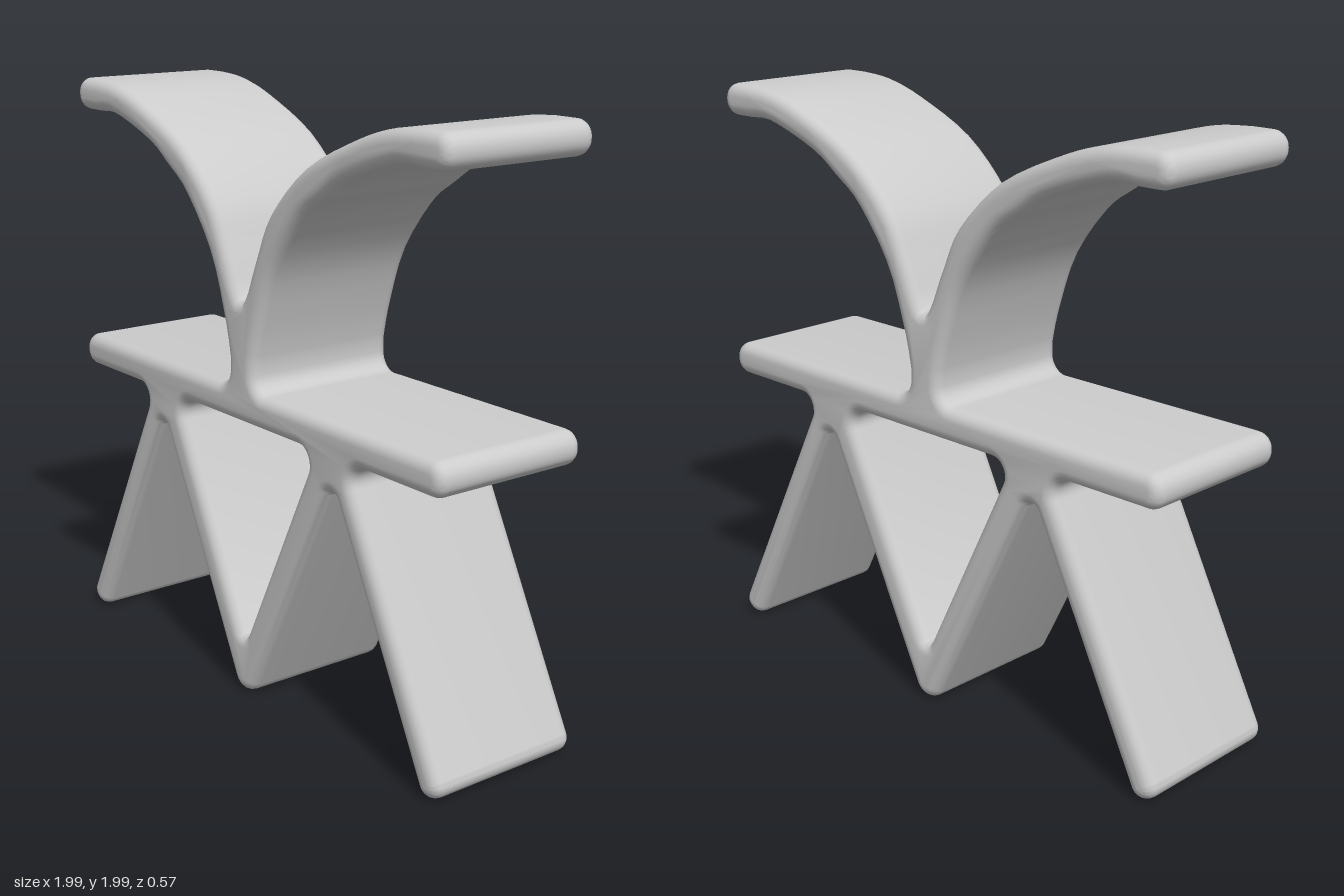
import * as THREE from 'three';
import { toCreasedNormals } from 'three/addons/utils/BufferGeometryUtils.js';

// Closed outline from [x, y, radius] corners, each rounded by a tangent arc.
function roundedOutline(corners) {
  const n = corners.length, out = [];
  corners.forEach(([x, y, r], i) => {
    const p = new THREE.Vector2(x, y);
    if (!r) { out.push(p); return; }
    const [ax, ay] = corners[(i + n - 1) % n], [bx, by] = corners[(i + 1) % n];
    const u = new THREE.Vector2(ax, ay).sub(p).normalize();
    const v = new THREE.Vector2(bx, by).sub(p).normalize();
    const half = Math.acos(THREE.MathUtils.clamp(u.dot(v), -1, 1)) / 2;
    const t = r / Math.tan(half);
    const c = u.clone().add(v).normalize().multiplyScalar(r / Math.sin(half)).add(p);
    const s = u.multiplyScalar(t).add(p).sub(c), e = v.multiplyScalar(t).add(p).sub(c);
    const sweep = Math.atan2(s.cross(e), s.dot(e));
    const steps = 8;
    for (let k = 0; k <= steps; k++) {
      out.push(s.clone().rotateAround(new THREE.Vector2(), sweep * k / steps).add(c));
    }
  });
  return out;
}

// Adds the mirror image of a half outline whose first and last corners lie on x = 0.
const mirrored = half => [
  ...half,
  ...half.slice(1, -1).reverse().map(([x, y, r]) => [-x, y, r]),
];

// Smooth run of points through a few given ones.
const smoothRun = (pts, count) => new THREE.SplineCurve(pts.map(p => new THREE.Vector2(...p)))
  .getPoints(count).map(p => [p.x, p.y, 0]);

export function createModel() {
  const group = new THREE.Group();
  group.name = 'branchingStand';
  const grey = new THREE.MeshStandardMaterial({ color: 0xcccccc });
  grey.name = 'light grey';

  // Curved arm: underside from the stem outwards, upper side back to the fork
  const armUnder = smoothRun([[0.07, 1.17], [0.098, 1.29], [0.172, 1.49], [0.305, 1.665],
    [0.415, 1.745], [0.53, 1.815], [0.745, 1.885], [0.86, 1.887]], 24);
  const armUpper = smoothRun([[0.86, 1.997], [0.73, 1.985], [0.575, 1.94], [0.335, 1.83],
    [0.16, 1.67], [0.085, 1.527], [0.035, 1.41]], 24);

  const half = [
    [0, -0.07, 0.06],                               // centre foot
    [0.475, 0.88, 0.03],                            // gap between the legs
    [0.923, -0.009, 0.047], [1.012, 0.0365, 0.047], // outer foot
    [0.541, 0.955, 0.05],                           // leg meets shelf
    [0.987, 0.955, 0.054], [0.987, 1.07, 0.054],    // shelf end
    [0.07, 1.07, 0.06],                             // shelf meets stem
    ...armUnder,
    [0.987, 1.887, 0.052], [0.987, 1.997, 0.052],   // arm end
    ...armUpper,
    [0, 1.345, 0.018],                              // fork
  ];
  const shape = new THREE.Shape(roundedOutline(mirrored(half)));

  // Triangular opening under the shelf
  const opening = [[0, 0.18, 0.02], [0.385, 0.955, 0.05], [-0.385, 0.955, 0.05]];
  shape.holes.push(new THREE.Path(roundedOutline(opening).reverse()));

  // One continuous slab with soft front and back edges
  const bevel = 0.04, depth = 0.57;
  const geometry = new THREE.ExtrudeGeometry(shape, {
    depth: depth - 2 * bevel, bevelEnabled: true, bevelSize: bevel,
    bevelThickness: bevel, bevelOffset: -bevel, bevelSegments: 5,
  });
  geometry.translate(0, 0, bevel - depth / 2);

  const body = new THREE.Mesh(toCreasedNormals(geometry, 0.7), grey);
  body.name = 'legsShelfAndArms';
  group.add(body);
  return group;
}
